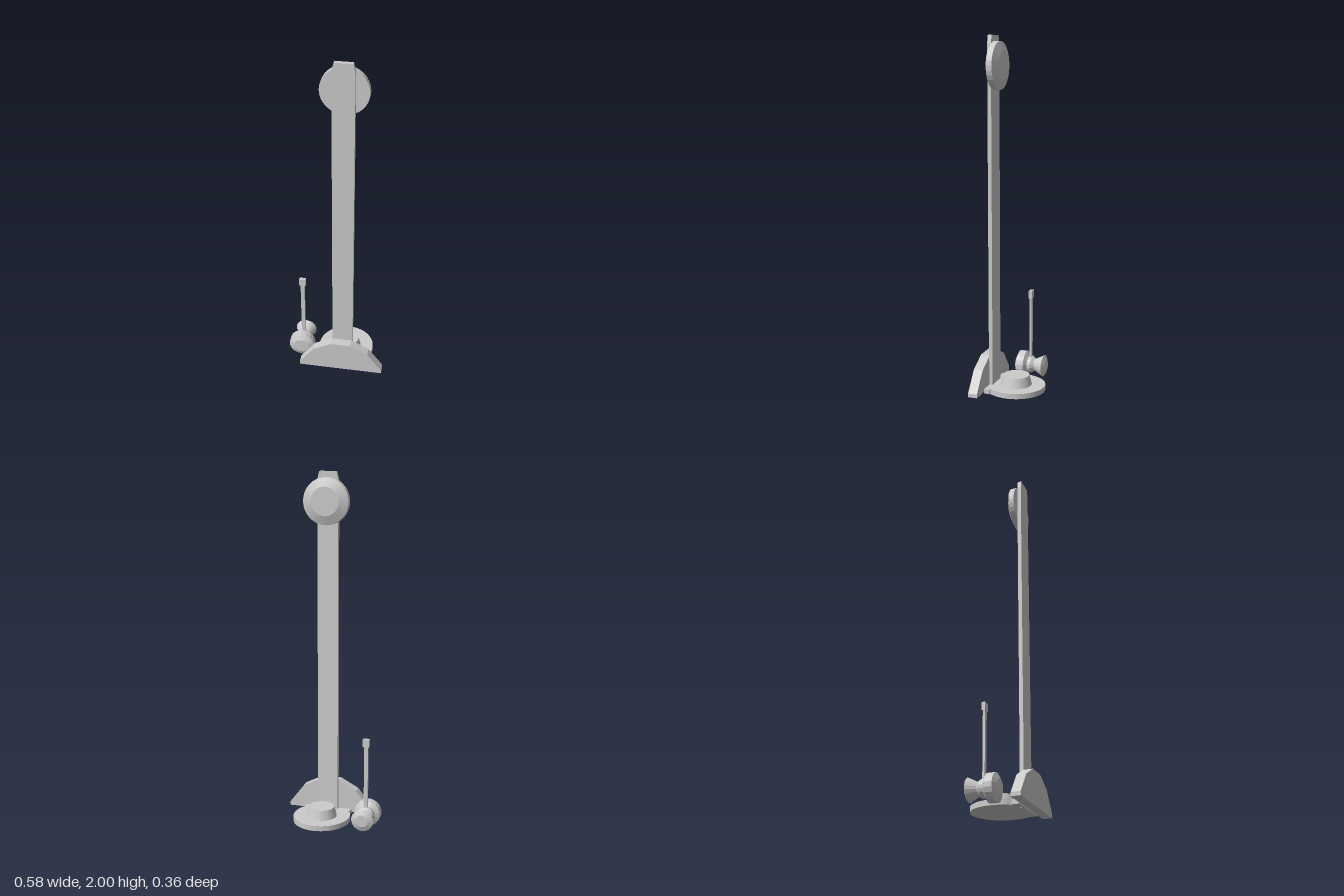
import * as THREE from 'three';

const material = new THREE.MeshStandardMaterial({ color: 0xcccccc, flatShading: true });
const CX = 0.048; // centre line of the tower

export function createModel() {
  const model = new THREE.Group();

  const add = (name, geometry, x = 0, y = 0, z = 0, parent = model) => {
    const mesh = new THREE.Mesh(geometry, material);
    mesh.name = name;
    mesh.position.set(x, y, z);
    parent.add(mesh);
    return mesh;
  };
  const slab = (points, depth) => new THREE.ExtrudeGeometry(
    new THREE.Shape(points.map(([x, y]) => new THREE.Vector2(x, y))),
    { depth, bevelEnabled: false });
  const mirrored = (half) => [...half, ...half.map(([x, y]) => [-x, y]).reverse()];
  // Turned shape along +z from [radius, z] pairs in rising z
  const turnedZ = (profile, sides) => new THREE.LatheGeometry(
    profile.map(([r, z]) => new THREE.Vector2(r, z)), sides).rotateX(Math.PI / 2);

  // Tall tower board with a clipped top
  add('towerBoard', slab(mirrored([[0.06, 0.02], [0.06, 1.955], [0.049, 2]]), 0.022), CX, 0, 0.106);

  // Bell at the top, on the striking side
  add('bell', turnedZ([[0, 0.055], [0.08, 0.055], [0.13, 0.074], [0.13, 0.107], [0, 0.107]], 32), 0.05, 1.838, 0);

  // Stepped foot panel
  add('footPanel', slab(mirrored([[0.246, 0.03], [0.246, 0.052], [0.161, 0.163], [0.058, 0.217]]), 0.053), 0.043, 0, 0.126);

  // Rounded striking platform with a straight edge at the tower
  const rim = [];
  for (let i = 0; i <= 32; i++) {
    const a = THREE.MathUtils.lerp(0.62, -Math.PI - 0.62, i / 32);
    rim.push([0.163 * Math.cos(a), -0.012 + 0.169 * Math.sin(a)]);
  }
  rim.push([-0.137, 0.094], [0.137, 0.094]);
  add('platform', slab(rim, 0.03).rotateX(Math.PI / 2), CX, 0.05, 0);
  add('platformJoint', new THREE.BoxGeometry(0.276, 0.026, 0.036), CX, 0.034, 0.11);

  // Tapered striking pad
  add('strikingPad', new THREE.CylinderGeometry(0.074, 0.088, 0.056, 32), CX, 0.077, -0.016);

  // Mallet resting beside the tower
  const mallet = new THREE.Group();
  mallet.name = 'mallet';
  mallet.position.set(-0.214, 0.078, 0);
  model.add(mallet);
  add('malletHead', turnedZ([
    [0, -0.104], [0.035, -0.104], [0.064, -0.091], [0.036, -0.037], [0.05, -0.018],
    [0.05, 0.002], [0.076, 0.017], [0.076, 0.06], [0.045, 0.075], [0, 0.075],
  ], 18), 0, 0, 0, mallet);
  add('malletHandle', new THREE.BoxGeometry(0.023, 0.42, 0.013), 0, 0.21, -0.009, mallet);
  add('malletGrip', new THREE.BoxGeometry(0.038, 0.045, 0.021), 0, 0.431, -0.01, mallet);

  return model;
}
